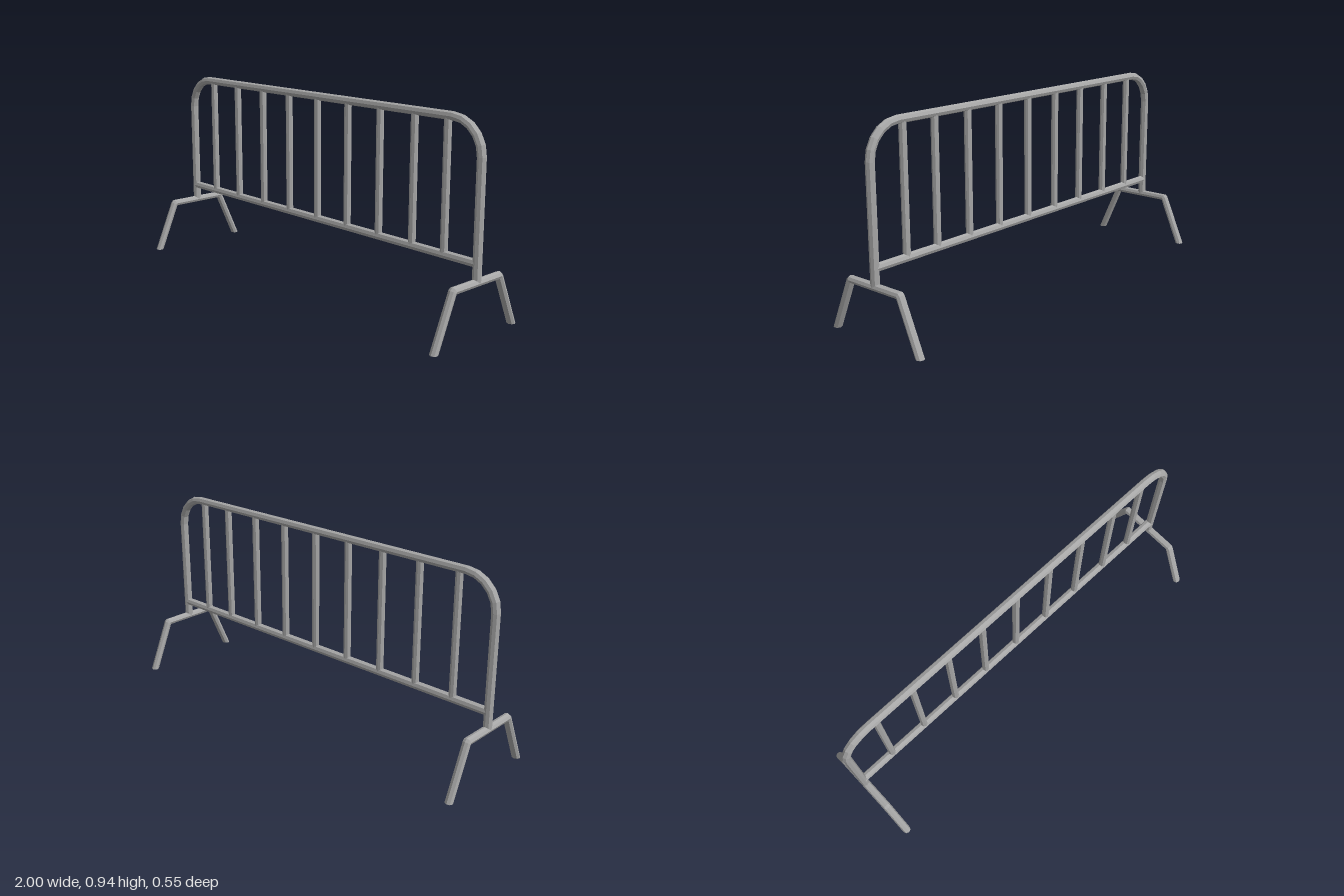
import * as THREE from 'three';

const SIDES = 8;
const V = (x, y, z) => new THREE.Vector3(x, y, z);

// Mitred tube along a flat path: n is the normal of the path's plane,
// rn / rb the radii along n and within the plane, cut an optional direction for the end faces.
function sweep(path, n, rn, rb, cut) {
  const pos = [], idx = [];
  const last = path.length - 1;
  path.forEach((p, i) => {
    const tin = i > 0 ? p.clone().sub(path[i - 1]).normalize() : null;
    const tout = i < last ? path[i + 1].clone().sub(p).normalize() : null;
    const b = (tin || tout).clone().cross(n);
    let m = b.clone();
    if (tin && tout) m = tin.clone().add(tout).normalize().cross(n);
    else if (cut) m = cut.clone();
    m.divideScalar(m.dot(b));
    for (let j = 0; j < SIDES; j++) {
      const a = (j / SIDES) * Math.PI * 2;
      const v = p.clone().addScaledVector(n, rn * Math.cos(a)).addScaledVector(m, rb * Math.sin(a));
      pos.push(v.x, v.y, v.z);
    }
  });
  for (let i = 0; i < last; i++) {
    for (let j = 0; j < SIDES; j++) {
      const k = (j + 1) % SIDES, a = i * SIDES, c = a + SIDES;
      idx.push(a + j, a + k, c + k, a + j, c + k, c + j);
    }
  }
  // end caps
  const e = last * SIDES;
  for (let j = 1; j < SIDES - 1; j++) idx.push(0, j + 1, j, e, e + j, e + j + 1);
  const g = new THREE.BufferGeometry();
  g.setAttribute('position', new THREE.Float32BufferAttribute(pos, 3));
  g.setIndex(idx);
  const flat = g.toNonIndexed();
  flat.computeVertexNormals();
  return flat;
}

export function createModel() {
  const group = new THREE.Group();
  const steel = new THREE.MeshStandardMaterial({ color: 0xa8a8a8 });
  steel.name = 'grey steel';
  const add = (name, geometry) => {
    const mesh = new THREE.Mesh(geometry, steel);
    mesh.name = name;
    group.add(mesh);
  };
  const X = V(1, 0, 0), Z = V(0, 0, 1);
  const R = 0.0195, postX = 0.98, topY = 0.918, railY = 0.325, footY = 0.243, frameZ = -0.002;

  // outer hoop: two posts joined by the top rail with rounded corners
  const bend = 0.15, steps = 5;
  const hoop = [V(-postX, footY, frameZ)];
  for (const s of [-1, 1]) {
    for (let i = 0; i <= steps; i++) {
      const a = ((s < 0 ? i : steps - i) / steps) * Math.PI / 2;
      hoop.push(V(s * (postX - bend + bend * Math.cos(a)), topY - bend + bend * Math.sin(a), frameZ));
    }
  }
  hoop.push(V(postX, footY, frameZ));
  add('frameHoop', sweep(hoop, Z, 0.0205, R));

  // lower rail
  add('lowerRail', sweep([V(-postX, railY, frameZ), V(postX, railY, frameZ)], Z, R, R));

  // upright bars
  for (const x of [-0.794, -0.592, -0.388, -0.188, 0.015, 0.219, 0.421, 0.622, 0.802]) {
    add('uprightBar', sweep([V(x, railY, frameZ), V(x, topY, frameZ)], Z, 0.017, 0.017));
  }

  // splayed feet, cut level with the ground
  for (const s of [-1, 1]) {
    const half = [[0.2575, 0], [0.153, 0.238], [0.148, footY]];
    const path = [
      ...half.map(([z, y]) => V(s * postX, y, z)),
      ...half.slice().reverse().map(([z, y]) => V(s * postX, y, -z)),
    ];
    add(s > 0 ? 'leftFoot' : 'rightFoot', sweep(path, X, R, 0.017, Z));
  }
  return group;
}
